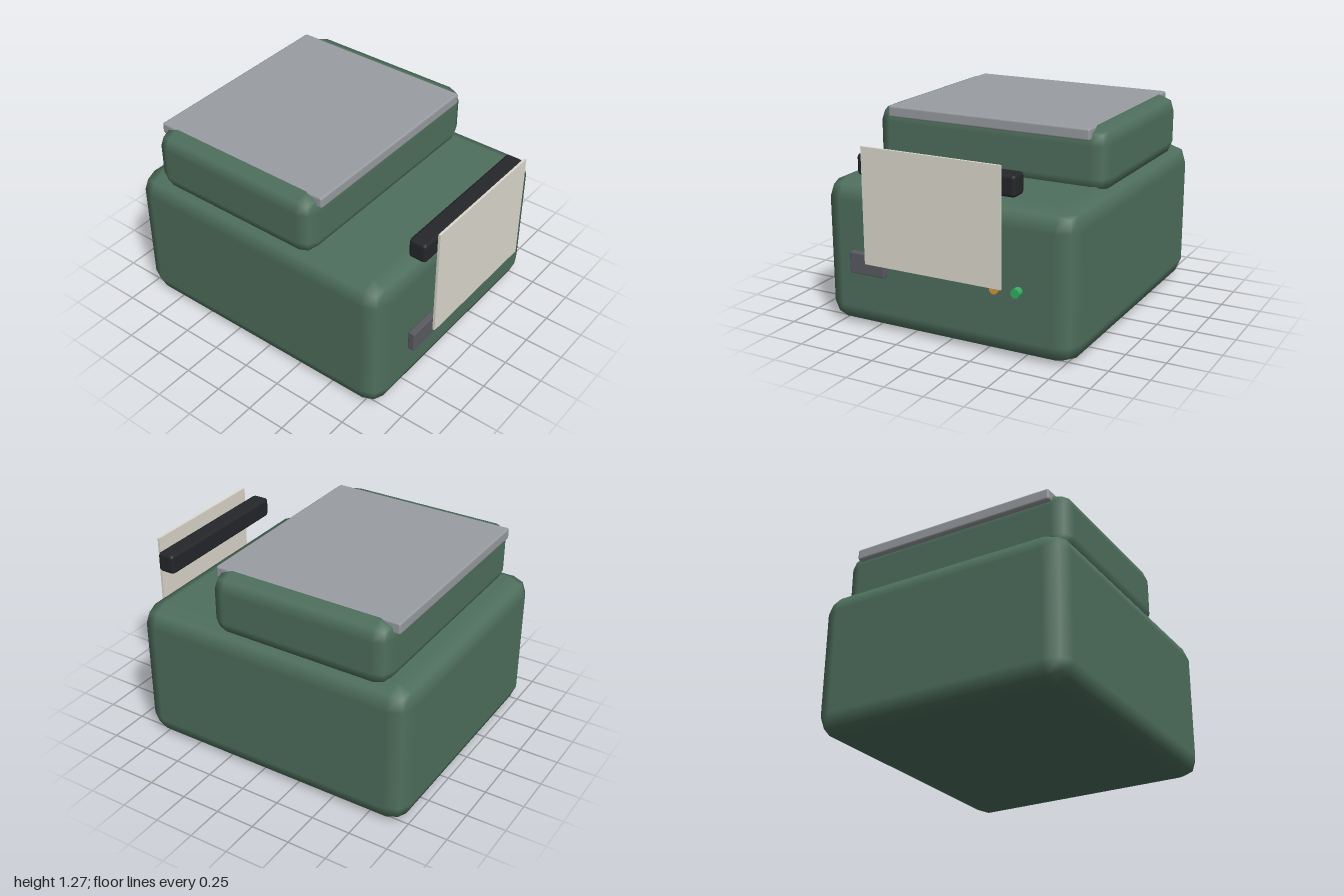
import * as THREE from 'three';
import { RoundedBoxGeometry } from 'three/addons/geometries/RoundedBoxGeometry.js';

const paint = (color) => new THREE.MeshStandardMaterial({ color });

export function createModel() {
  const group = new THREE.Group();
  const green = paint(0x4f705e);

  const add = (name, geometry, material, x, y, z) => {
    const mesh = new THREE.Mesh(geometry, material);
    mesh.name = name;
    mesh.position.set(x, y, z);
    group.add(mesh);
    return mesh;
  };

  // Box from its [min, max] ranges, with softened edges when r > 0
  const block = (name, [x0, x1], [y0, y1], [z0, z1], r, material) => {
    const size = [x1 - x0, y1 - y0, z1 - z0];
    const geometry = r > 0
      ? new RoundedBoxGeometry(...size, 1, r)
      : new THREE.BoxGeometry(...size);
    return add(name, geometry, material, (x0 + x1) / 2, (y0 + y1) / 2, (z0 + z1) / 2);
  };

  // Stacked housing
  block('body', [-0.835, 0.835], [0, 0.92], [-1, 0.87], 0.125, green);
  block('upperHousing', [-0.785, 0.785], [0.87, 1.268], [-0.845, 0.35], 0.1, green);
  block('lid', [-0.685, 0.685], [1.197, 1.271], [-0.867, 0.363], 0.014, paint(0x9a9ea2));

  // Paper feed at the front
  block('feedBar', [-0.515, 0.515], [0.99, 1.12], [0.835, 0.953], 0.022, paint(0x25272a));
  block('paperSheet', [-0.45, 0.45], [0.47, 1.18], [0.985, 1], 0, paint(0xdedacf));

  // Control panel and indicator lights
  block('controlPanel', [-0.59, -0.35], [0.38, 0.512], [0.91, 0.955], 0.008, paint(0x5a5c62));
  const lightGeometry = new THREE.CylinderGeometry(0.028, 0.028, 0.042, 16).rotateX(Math.PI / 2);
  add('amberLight', lightGeometry, paint(0xd09a3a), 0.38, 0.445, 0.934);
  add('greenLight', lightGeometry, paint(0x35b060), 0.515, 0.445, 0.934);

  return group;
}
